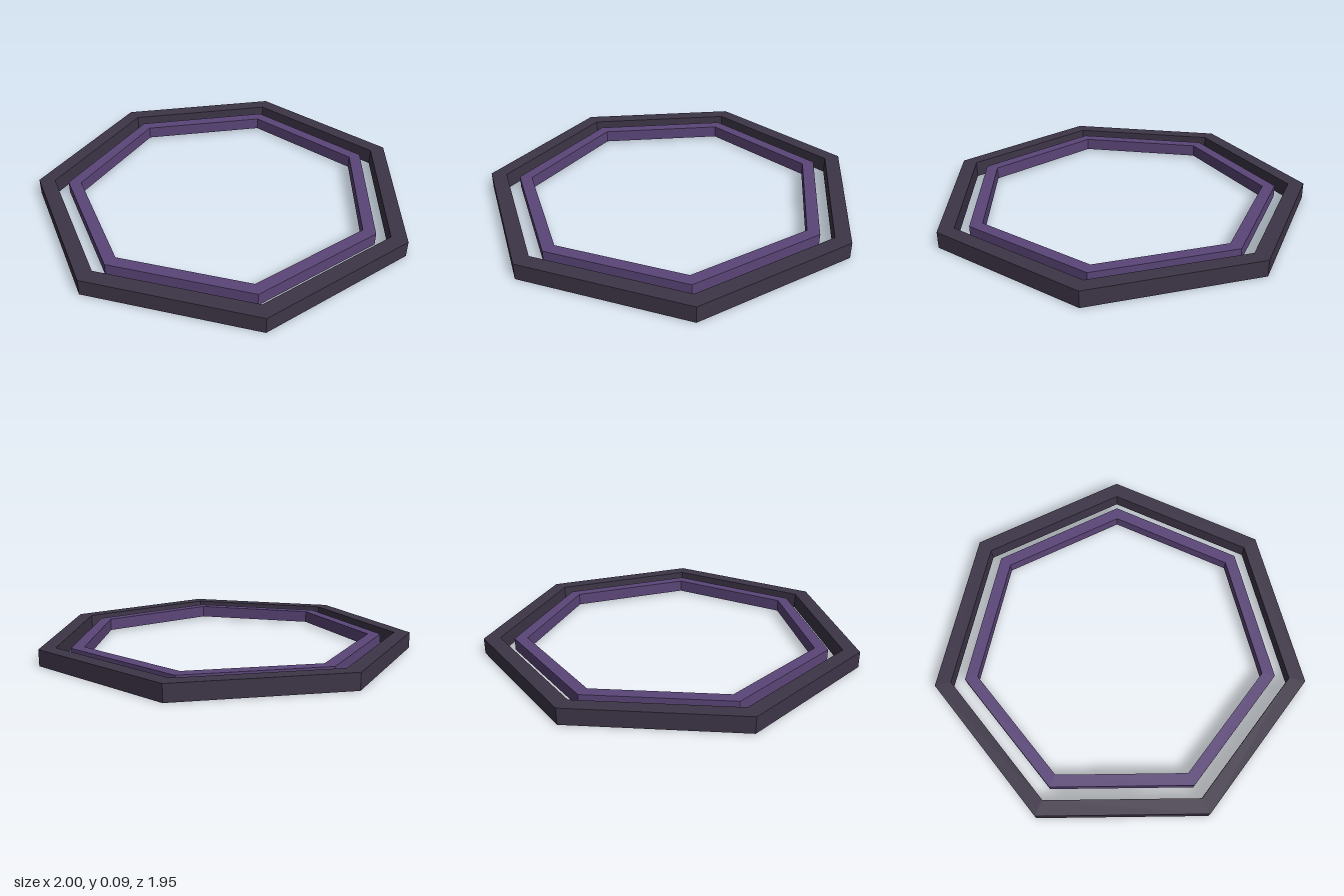
import * as THREE from 'three';

const SIDES = 7;
const CENTRE_Z = 0.05;

// Corners of a regular heptagon with one corner pointing to the back (-z)
function corners(radius) {
  return Array.from({ length: SIDES }, (_, i) => {
    const a = Math.PI / 2 + (i * Math.PI * 2) / SIDES;
    return new THREE.Vector2(Math.cos(a) * radius, Math.sin(a) * radius);
  });
}

// Flat heptagonal band lying on the ground plane
function makeRing(name, outerRadius, innerRadius, bottom, top, color) {
  const shape = new THREE.Shape(corners(outerRadius));
  shape.holes.push(new THREE.Path(corners(innerRadius).reverse()));
  const geometry = new THREE.ExtrudeGeometry(shape, { depth: top - bottom, bevelEnabled: false });
  geometry.rotateX(-Math.PI / 2);
  const mesh = new THREE.Mesh(geometry, new THREE.MeshStandardMaterial({ color }));
  mesh.name = name;
  mesh.position.set(0, bottom, CENTRE_Z);
  return mesh;
}

export function createModel() {
  const model = new THREE.Group();
  model.name = 'heptagonRings';
  model.add(
    makeRing('outerRing', 1.0257, 0.938, 0, 0.087, 0x3d3547),
    makeRing('innerRing', 0.863, 0.793, 0.01, 0.077, 0x5a4578),
  );
  return model;
}
